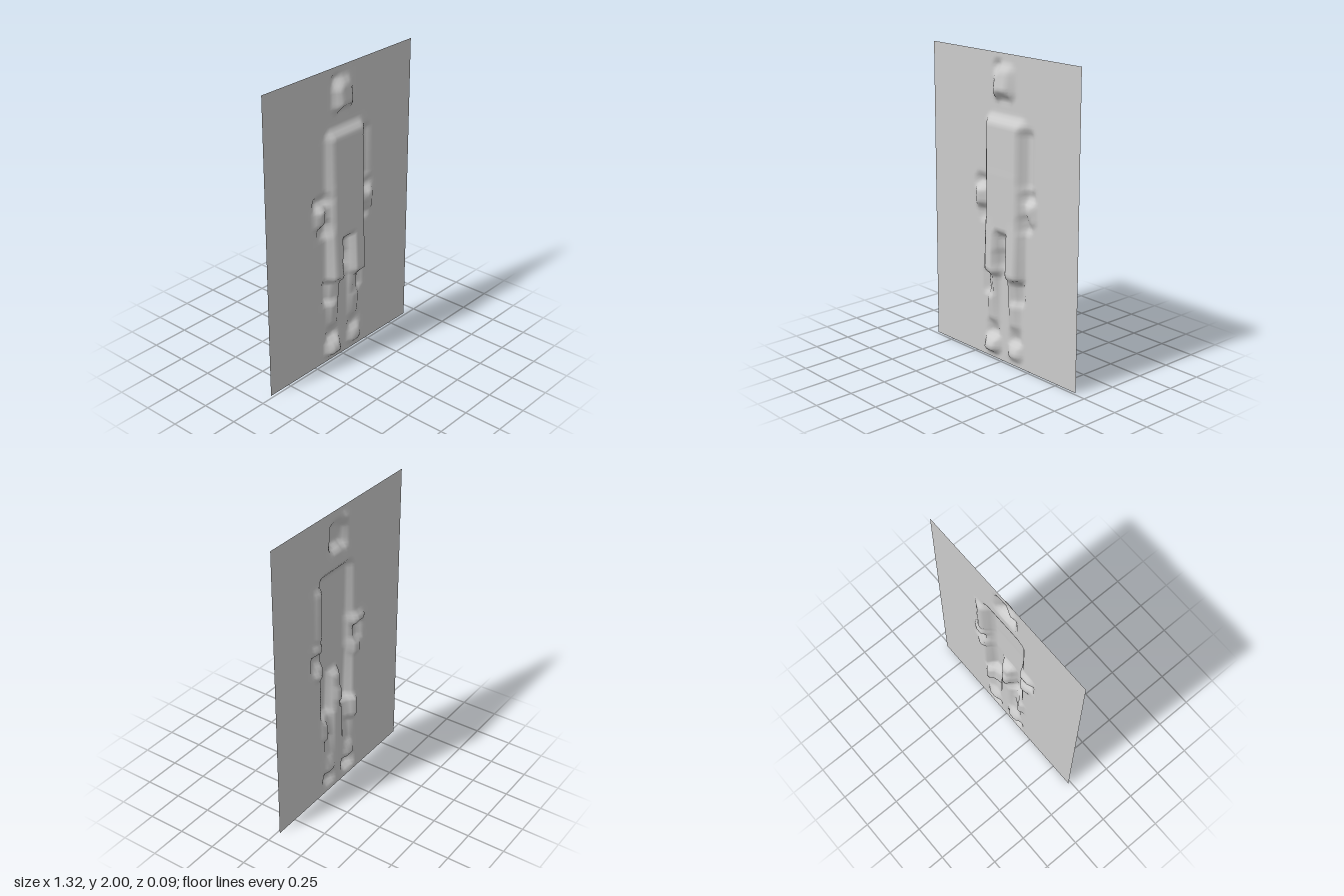
import * as THREE from 'three';

const BASE = -0.018;

// Raised areas: [x, y, half width, half height, ramp, height at top, height at bottom]
const raised = [
  [0.01, 1.82, 0.035, 0.055, 0.075, 0.036, 0.054],  // head
  [0.03, 1.38, 0.125, 0.18, 0.07, 0.044, 0.05],     // chest
  [0.03, 1.08, 0.125, 0.18, 0.06, 0.05, 0.052],     // hips
  [-0.075, 0.78, 0.03, 0.17, 0.05, 0.052, 0.066],   // right thigh
  [0.125, 0.78, 0.035, 0.17, 0.05, 0.052, 0.066],   // left thigh
  [-0.085, 0.42, 0.015, 0.18, 0.05, 0.05, 0.014],   // right shin
  [0.11, 0.42, 0.015, 0.18, 0.05, 0.05, 0.014],     // left shin
  [-0.09, 0.1, 0.025, 0.02, 0.06, 0.04, 0.054],     // right foot
  [0.12, 0.1, 0.02, 0.02, 0.06, 0.025, 0.035],      // left foot
  [-0.2, 1.07, 0.01, 0.04, 0.055, 0.036, 0.03],     // right hand
  [0.255, 1.04, 0.01, 0.04, 0.05, 0.026, 0.022],    // left hand
];

// Sunken areas, same layout with depths
const sunken = [
  [-0.05, 1.91, 0.01, 0.015, 0.04, 0.022, 0.022],   // side of head
  [0.02, 1.735, 0.03, 0.01, 0.035, 0.02, 0.02],     // throat
  [0.22, 1.37, 0.015, 0.15, 0.055, 0.024, 0.02],    // left upper arm
  [-0.19, 1.17, 0.03, 0.01, 0.05, 0.026, 0.026],    // right wrist
  [0.24, 1.15, 0.02, 0.01, 0.045, 0.022, 0.022],    // left wrist
  [-0.17, 0.97, 0.02, 0.03, 0.04, 0.018, 0.018],    // below right hand
  [0.22, 0.97, 0.02, 0.03, 0.04, 0.018, 0.018],     // below left hand
  [0.0, 0.7, 0.015, 0.03, 0.04, 0.016, 0.016],      // between thighs
  [-0.12, 0.52, 0.025, 0.06, 0.045, 0.024, 0.027],  // right knee step
  [0.14, 0.5, 0.025, 0.05, 0.045, 0.024, 0.027],    // left knee step
  [-0.09, 0.2, 0.02, 0.03, 0.05, 0.022, 0.026],     // right ankle
  [0.12, 0.2, 0.02, 0.03, 0.05, 0.018, 0.022],      // left ankle
];

// Height of one area: a flat rounded box with a ramp around it
function areaHeight([cx, cy, hw, hh, ramp, top, bottom], x, y) {
  const dx = Math.max(Math.abs(x - cx) - hw, 0);
  const dy = Math.max(Math.abs(y - cy) - hh, 0);
  const fall = 1 - THREE.MathUtils.smoothstep(Math.hypot(dx, dy), 0, ramp);
  const t = THREE.MathUtils.clamp((cy + hh - y) / (2 * hh), 0, 1);
  return fall * THREE.MathUtils.lerp(top, bottom, t);
}

const highest = (areas, x, y) => Math.max(0, ...areas.map((a) => areaHeight(a, x, y)));

export function createModel() {
  const group = new THREE.Group();
  group.name = 'reliefPanel';

  // Thin panel pressed into a standing figure
  const geometry = new THREE.PlaneGeometry(1.32, 2, 66, 100);
  geometry.translate(0, 1, 0);
  const pos = geometry.attributes.position;
  for (let i = 0; i < pos.count; i++) {
    const x = pos.getX(i), y = pos.getY(i);
    const z = BASE + highest(raised, x, y) - highest(sunken, x, y);
    pos.setZ(i, THREE.MathUtils.clamp(z, -0.045, 0.048));
  }
  geometry.computeVertexNormals();

  const panel = new THREE.Mesh(
    geometry,
    new THREE.MeshStandardMaterial({ color: 0xcccccc, side: THREE.DoubleSide })
  );
  panel.name = 'figureRelief';
  group.add(panel);
  return group;
}
